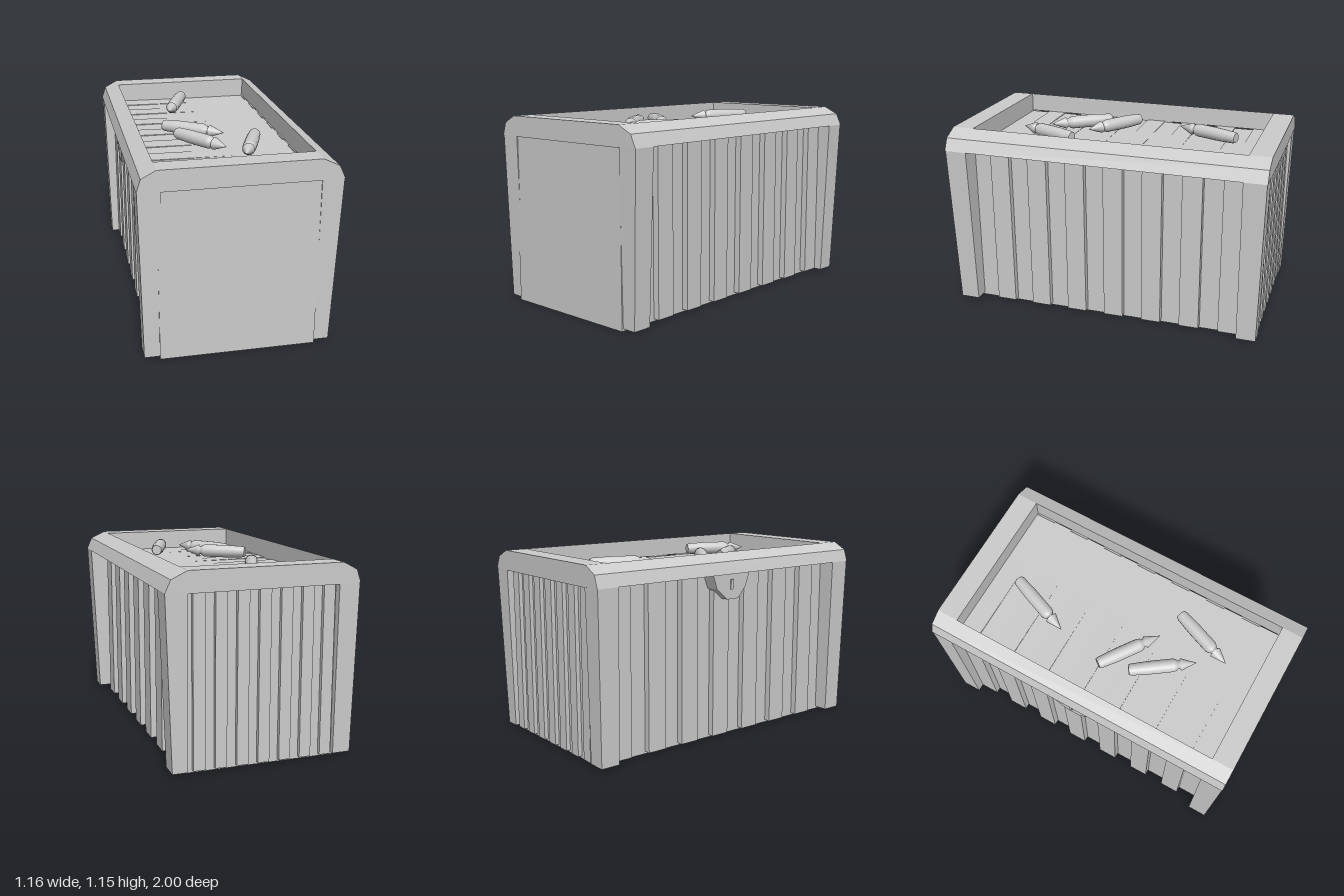
import * as THREE from 'three';

const mat = new THREE.MeshStandardMaterial({ color: 0xcccccc, flatShading: true });
const smooth = new THREE.MeshStandardMaterial({ color: 0xcccccc });

export function createModel() {
  const root = new THREE.Group();
  const add = (name, geo, material = mat) => {
    const m = new THREE.Mesh(geo, material);
    m.name = name;
    root.add(m);
    return m;
  };
  // Box given by its limits on each axis
  const box = (name, x0, x1, y0, y1, z0, z1) => add(name,
    new THREE.BoxGeometry(x1 - x0, y1 - y0, z1 - z0)
      .translate((x0 + x1) / 2, (y0 + y1) / 2, (z0 + z1) / 2));
  // Outline in x and y, drawn out from z0 to z1
  const extrude = (name, pts, z0, z1) => add(name,
    new THREE.ExtrudeGeometry(new THREE.Shape(pts.map(p => new THREE.Vector2(...p))),
      { depth: z1 - z0, bevelEnabled: false }).translate(0, 0, z0));

  const L = -0.47, R = 0.45, base = 0.015, rimY = 1.035, topY = 1.155, holeZ = 0.865;

  // Container body with a flat front
  box('body', L, R, 0, 1.03, -0.95, 0.99);

  // Chamfered rim: two long rails and two end pieces
  extrude('rimRail', [[L, rimY], [L, topY], [-0.555, 1.11], [-0.58, rimY]], -1, 1);
  extrude('rimRail', [[R, rimY], [0.58, rimY], [0.545, 1.11], [R, topY]], -1, 1);
  for (const s of [-1, 1]) {
    box('rimEnd', L, R, 1.03, topY, s > 0 ? holeZ : -1, s > 0 ? 1 : -holeZ);
  }

  // Corner posts that narrow towards the foot
  for (const [inner, low, high] of [[L + 0.02, -0.56, -0.578], [R, 0.54, 0.578]]) {
    for (const s of [-1, 1]) {
      const geo = new THREE.BoxGeometry(1, 1, 1);
      const p = geo.attributes.position;
      const out = Math.sign(high);
      for (let i = 0; i < p.count; i++) {
        const up = p.getY(i) > 0;
        const x = p.getX(i) * out > 0 ? (up ? high : low) : inner;
        const z = p.getZ(i) * s > 0 ? s * (up ? 0.997 : 0.98) : s * 0.86;
        p.setXYZ(i, x, up ? rimY : base, z);
      }
      geo.computeVertexNormals();
      add('cornerPost', geo);
    }
  }

  // Upright ribs along both long sides
  const pitch = 1.72 / 14;
  for (let i = 0; i < 7; i++) {
    const z1 = 0.86 - pitch * (2 * i + 1), z0 = z1 - pitch;
    box('sideRib', R - 0.01, 0.49, base, rimY, z0, z1);
    box('sideRib', -0.51, L + 0.01, base, rimY, z0, z1);
    // Shallow planks on the load floor, fading out past the middle
    extrude('floorPlank', [[L, 1.025], [0.07, 1.025], [0.07, 1.03], [L, 1.036]], z0, z1);
  }

  // Finer ribs across the back
  for (let i = 0; i < 7; i++) {
    const x = -0.4 + i * 0.13;
    box('backRib', x - 0.035, x + 0.035, base, rimY, -0.975, -0.94);
  }

  // Catch hanging below the rim, with a raised keeper
  const catchPlate = extrude('catchPlate', [[-0.17, rimY], [-0.14, 0.95], [-0.06, 0.88],
    [0.03, 0.88], [0.09, 0.95], [0.12, rimY]], 0, 0.09);
  catchPlate.rotation.y = -Math.PI / 2;
  catchPlate.position.x = -0.47;
  box('catchKeeper', -0.568, -0.55, 0.94, 1.0, -0.035, -0.015);

  // Loose pointed rounds: tail and tip given as x, z
  const profile = [[0, 0], [0.031, 0], [0.036, 0.015], [0.041, 0.12], [0.041, 0.28], [0.034, 0.3],
    [0.026, 0.305], [0.026, 0.318], [0.038, 0.325], [0, 0.425]];
  const pts = [];
  profile.forEach(([r, y], i) => {
    pts.push(new THREE.Vector2(r, y));
    if (i === 1) pts.push(new THREE.Vector2(r, y));
  });
  const round = new THREE.LatheGeometry(pts, 16);
  const up = new THREE.Vector3(0, 1, 0);
  for (const [x0, z0, x1, z1] of [[-0.04, -0.7, -0.195, -0.3], [-0.275, 0, 0.065, 0.24],
    [-0.22, 0.18, 0.02, 0.515], [0.25, 0.285, 0.1, 0.67]]) {
    const m = add('looseRound', round, smooth);
    const dir = new THREE.Vector3(x1 - x0, 0, z1 - z0);
    m.scale.y = dir.length() / 0.425;
    m.quaternion.setFromUnitVectors(up, dir.normalize());
    m.position.set(x0, 1.095, z0);
  }
  return root;
}
